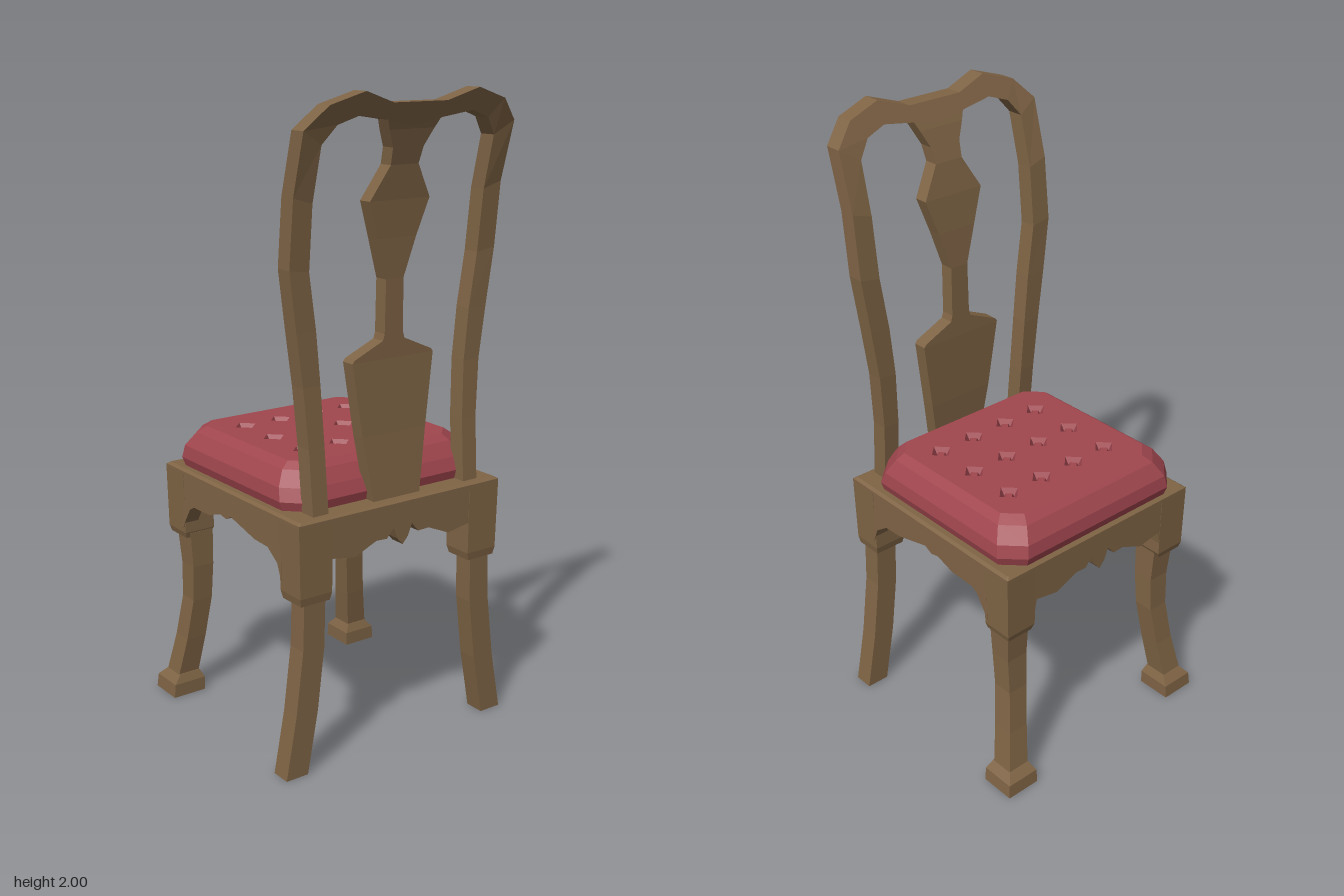
import * as THREE from 'three';

const wood = new THREE.MeshStandardMaterial({ color: 0x7f6445 });
wood.name = 'wood';
const fabric = new THREE.MeshStandardMaterial({ color: 0xa0464e, side: THREE.DoubleSide });
fabric.name = 'red fabric';

// Joins rings of points into a flat-shaded solid; faces always point outwards
function loft(rings, capEnd = true) {
  const tris = [], n = rings[0].length, last = rings[rings.length - 1];
  for (let i = 0; i < rings.length - 1; i++) {
    const a = rings[i], b = rings[i + 1];
    for (let j = 0; j < n; j++) {
      const k = (j + 1) % n;
      tris.push([a[j], a[k], b[k]], [a[j], b[k], b[j]]);
    }
  }
  for (let j = 1; j < n - 1; j++) {
    tris.push([rings[0][0], rings[0][j + 1], rings[0][j]]);
    if (capEnd) tris.push([last[0], last[j], last[j + 1]]);
  }
  // Signed volume about a point of the end cap tells which way the faces turn
  const v = (p) => new THREE.Vector3(...p), o = v(last[0]);
  let volume = 0;
  for (const t of tris) {
    const [a, b, c] = t.map((p) => v(p).sub(o));
    volume += a.dot(b.cross(c));
  }
  if (volume < 0) tris.forEach((t) => t.reverse());
  const g = new THREE.BufferGeometry();
  g.setAttribute('position', new THREE.Float32BufferAttribute(tris.flat(2), 3));
  g.computeVertexNormals();
  return g;
}

// Horizontal rectangular sections [y, x0, x1, z0, z1], mirrored by side
const post = (sections, side) => loft(sections.map(([y, x0, x1, z0, z1]) =>
  [[x0, y, z0 * side], [x1, y, z0 * side], [x1, y, z1 * side], [x0, y, z1 * side]]));

// Front face of the backrest at each height, and its thickness
const bendCurve = [[0.78, 0.285], [1.0, 0.268], [1.2, 0.259], [1.5, 0.262], [1.75, 0.288], [1.9, 0.335], [2.0, 0.378]];
function bend(y) {
  let i = 0;
  while (i < bendCurve.length - 2 && y > bendCurve[i + 1][0]) i++;
  const [y0, x0] = bendCurve[i], [y1, x1] = bendCurve[i + 1];
  return x0 + (x1 - x0) * (y - y0) / (y1 - y0);
}

// Bent flat bar from pairs of edge points [zA, yA, zB, yB]
const bar = (pairs, inset, depth) => loft(pairs.map(([za, ya, zb, yb]) => {
  const xa = bend(ya) + inset, xb = bend(yb) + inset;
  return [[xa, ya, za], [xa + depth, ya, za], [xb + depth, yb, zb], [xb, yb, zb]];
}));

// Rectangle with cut corners at height y
const octagon = (y, x0, x1, z, c) => [
  [x0 + c, y, -z], [x1 - c, y, -z], [x1, y, -z + c], [x1, y, z - c],
  [x1 - c, y, z], [x0 + c, y, z], [x0, y, z - c], [x0, y, -z + c]];

export function createModel() {
  const chair = new THREE.Group();
  chair.name = 'chair';
  const add = (name, geometry, material = wood, parent = chair) => {
    const mesh = new THREE.Mesh(geometry, material);
    mesh.name = name;
    parent.add(mesh);
    return mesh;
  };
  const block = (name, x0, x1, y0, y1, z0, z1) =>
    add(name, new THREE.BoxGeometry(x1 - x0, y1 - y0, z1 - z0))
      .position.set((x0 + x1) / 2, (y0 + y1) / 2, (z0 + z1) / 2);

  // Legs, feet and corner blocks
  for (const s of [1, -1]) {
    add('frontLeg', post([[0.06, -0.405, -0.33, 0.315, 0.39], [0.2, -0.378, -0.308, 0.295, 0.365],
      [0.34, -0.358, -0.29, 0.278, 0.348], [0.46, -0.353, -0.281, 0.275, 0.35], [0.58, -0.362, -0.28, 0.275, 0.358]], s));
    add('frontFoot', post([[0, -0.432, -0.315, 0.298, 0.415], [0.045, -0.428, -0.315, 0.298, 0.411],
      [0.073, -0.402, -0.325, 0.312, 0.386]], s));
    add('backLeg', post([[0, 0.29, 0.355, 0.345, 0.422], [0.2, 0.29, 0.355, 0.308, 0.385],
      [0.4, 0.29, 0.355, 0.284, 0.36], [0.56, 0.29, 0.355, 0.28, 0.355]], s));
    add('frontCornerBlock', post([[0.565, -0.378, -0.285, 0.28, 0.37], [0.585, -0.384, -0.28, 0.27, 0.376],
      [0.795, -0.386, -0.28, 0.27, 0.38]], s));
    add('backCornerBlock', post([[0.545, 0.268, 0.36, 0.268, 0.37], [0.57, 0.262, 0.364, 0.262, 0.375],
      [0.795, 0.262, 0.366, 0.262, 0.38]], s));
  }

  // Shaped aprons between the corners
  const apron = (points, depth) => new THREE.ExtrudeGeometry(
    new THREE.Shape(points.map((p) => new THREE.Vector2(...p))), { depth, bevelEnabled: false });
  const sideOutline = [[-0.29, 0.795], [-0.29, 0.6], [-0.275, 0.63], [-0.245, 0.675], [-0.22, 0.688], [-0.13, 0.69],
    [-0.06, 0.712], [-0.03, 0.705], [0, 0.72], [0.04, 0.71], [0.13, 0.688], [0.2, 0.685], [0.25, 0.65], [0.27, 0.6], [0.27, 0.795]];
  for (const z of [0.328, -0.378]) add('sideApron', apron(sideOutline, 0.05)).position.z = z;
  const half = [[0.275, 0.795], [0.275, 0.6], [0.262, 0.672], [0.18, 0.658], [0.1, 0.692], [0.06, 0.69], [0.035, 0.72], [0.02, 0.682]];
  const crossOutline = [...half, [0, 0.66], ...half.map(([z, y]) => [-z, y]).reverse()];
  for (const x of [0.314, -0.384]) {
    const mesh = add(x > 0 ? 'backApron' : 'frontApron', apron(crossOutline, 0.05));
    mesh.rotation.y = Math.PI / 2;
    mesh.position.x = x;
  }
  block('seatBoard', -0.36, 0.34, 0.745, 0.79, -0.36, 0.36);
  add('seatRim', loft([octagon(0.785, -0.386, 0.366, 0.38, 0.004), octagon(0.795, -0.386, 0.366, 0.38, 0.004),
    octagon(0.802, -0.376, 0.356, 0.37, 0.004)]));

  // Hooped back frame: outer and inner edge, one side then its mirror image
  const hoop = [[0.312, 0.79, 0.257, 0.79], [0.315, 1.0, 0.26, 1.0], [0.328, 1.18, 0.268, 1.18], [0.35, 1.34, 0.283, 1.34],
    [0.375, 1.52, 0.308, 1.51], [0.375, 1.72, 0.31, 1.7], [0.375, 1.9, 0.308, 1.86], [0.31, 1.966, 0.268, 1.912],
    [0.2, 2.0, 0.2, 1.935], [0.095, 1.966, 0.1, 1.92]];
  const mirrored = hoop.map(([a, b, c, d]) => [-a, b, -c, d]).reverse();
  add('backFrame', bar([...hoop, [0, 1.966, 0, 1.9], ...mirrored], 0, 0.056));

  // Vase-shaped splat: height and half width
  const splat = [[0.79, 0.085], [1.0, 0.118], [1.225, 0.15], [1.235, 0.142], [1.28, 0.04], [1.3, 0.034], [1.46, 0.032],
    [1.58, 0.07], [1.69, 0.108], [1.79, 0.05], [1.84, 0.055], [1.89, 0.08], [1.93, 0.1]];
  add('splat', bar(splat.map(([y, w]) => [w, y, -w, y]), 0.004, 0.046));

  // Cushion with a tufted top
  const cushion = new THREE.Group();
  cushion.name = 'cushion';
  chair.add(cushion);
  const topY = 0.935, topRing = octagon(topY, -0.312, 0.243, 0.298, 0.05);
  add('cushionSides', loft([octagon(0.8, -0.372, 0.297, 0.35, 0.06), octagon(0.83, -0.382, 0.305, 0.36, 0.065),
    octagon(0.87, -0.374, 0.29, 0.353, 0.065), octagon(0.915, -0.342, 0.263, 0.325, 0.06), topRing], false), fabric, cushion);
  const topShape = new THREE.Shape(topRing.map(([x, , z]) => new THREE.Vector2(x, -z)));
  const r = 0.037;
  for (const x of [-0.195, -0.035, 0.125]) {
    for (const z of [-0.205, -0.072, 0.062, 0.195]) {
      topShape.holes.push(new THREE.Path([[r, 0], [0, r], [-r, 0], [0, -r]]
        .map(([dx, dy]) => new THREE.Vector2(x + dx, -z + dy))));
      const pit = new THREE.CylinderGeometry(r, 0.02, 0.024, 4, 1, true).toNonIndexed();
      pit.computeVertexNormals();
      // Pit walls face inwards
      pit.scale(-1, 1, 1);
      add('tuftPit', pit, fabric, cushion).position.set(x, topY - 0.012, z);
      const button = new THREE.CylinderGeometry(0.014, 0.022, 0.014, 4).toNonIndexed();
      button.computeVertexNormals();
      add('tuftButton', button, fabric, cushion).position.set(x, topY - 0.017, z);
    }
  }
  add('cushionTop', new THREE.ShapeGeometry(topShape).rotateX(-Math.PI / 2).translate(0, topY, 0), fabric, cushion);
  return chair;
}
